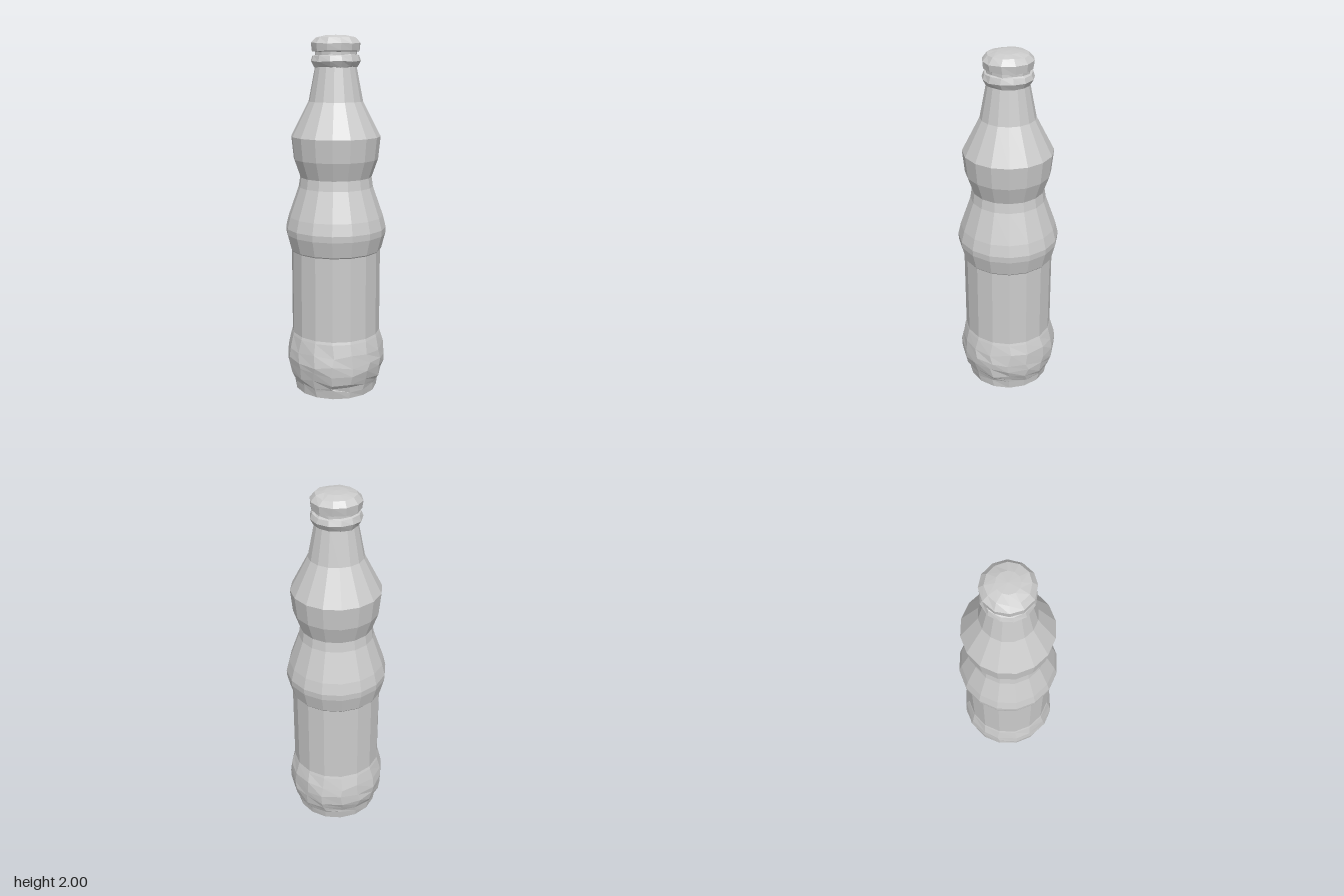
import * as THREE from 'three';

const material = new THREE.MeshStandardMaterial({ color: 0xcccccc, flatShading: true });

// Repeatable noise in -1..1 for a ring position and height index.
function noise(i, j) {
  const s = Math.sin(i * 12.9898 + j * 78.233) * 43758.5453;
  return (s - Math.floor(s)) * 2 - 1;
}

// Faceted turned part from [radius, y] pairs; rough(y) gives the vertex jitter at a height.
function turned(name, profile, sides, startAngle, rough = () => 0) {
  const points = profile.map(([r, y]) => new THREE.Vector2(r, y));
  const geometry = new THREE.LatheGeometry(points, sides, startAngle);
  const pos = geometry.attributes.position;
  for (let v = 0; v < pos.count; v++) {
    const i = Math.floor(v / points.length) % sides;
    const j = v % points.length;
    const [r, y] = profile[j];
    if (r === 0) continue;
    const amount = rough(y);
    const angle = startAngle + (i / sides) * Math.PI * 2 + (noise(i, j) * amount) / r;
    const radius = r + noise(i + 31, j) * amount * 0.3;
    pos.setXYZ(v, Math.sin(angle) * radius, y + noise(i + 67, j) * amount, Math.cos(angle) * radius);
  }
  geometry.computeVertexNormals();
  const mesh = new THREE.Mesh(geometry, material);
  mesh.name = name;
  return mesh;
}

export function createModel() {
  const group = new THREE.Group();
  group.name = 'bottle';
  const start = THREE.MathUtils.degToRad(7);

  // Foot with rough, hammered facets
  group.add(turned('foot', [
    [0, 0], [0.236, 0], [0.244, 0.045], [0.25, 0.065], [0.265, 0.1], [0.277, 0.15],
    [0.28, 0.2], [0.274, 0.26], [0.256, 0.325], [0.251, 0.34],
  ], 16, start, (y) => (y > 0.01 && y < 0.3 ? 0.012 : 0)));

  // Straight label section, two bulges and tapering neck
  group.add(turned('body', [
    [0.251, 0.34], [0.251, 0.815], [0.257, 0.822], [0.28, 0.91], [0.282, 0.945],
    [0.266, 1.01], [0.208, 1.175], [0.2, 1.23], [0.235, 1.33], [0.248, 1.455],
    [0.15, 1.645], [0.113, 1.835],
  ], 16, start));

  // Collar below the cap
  group.add(turned('collar', [
    [0.11, 1.83], [0.12, 1.83], [0.138, 1.86], [0.128, 1.89], [0.116, 1.895], [0.116, 1.925],
  ], 13, start, () => 0.004));

  // Domed cap with slightly uneven facets
  group.add(turned('cap', [
    [0.11, 1.91], [0.132, 1.914], [0.137, 1.955], [0.11, 1.985], [0.06, 1.997], [0, 2],
  ], 12, start, (y) => (y < 1.99 ? 0.004 : 0)));

  return group;
}
